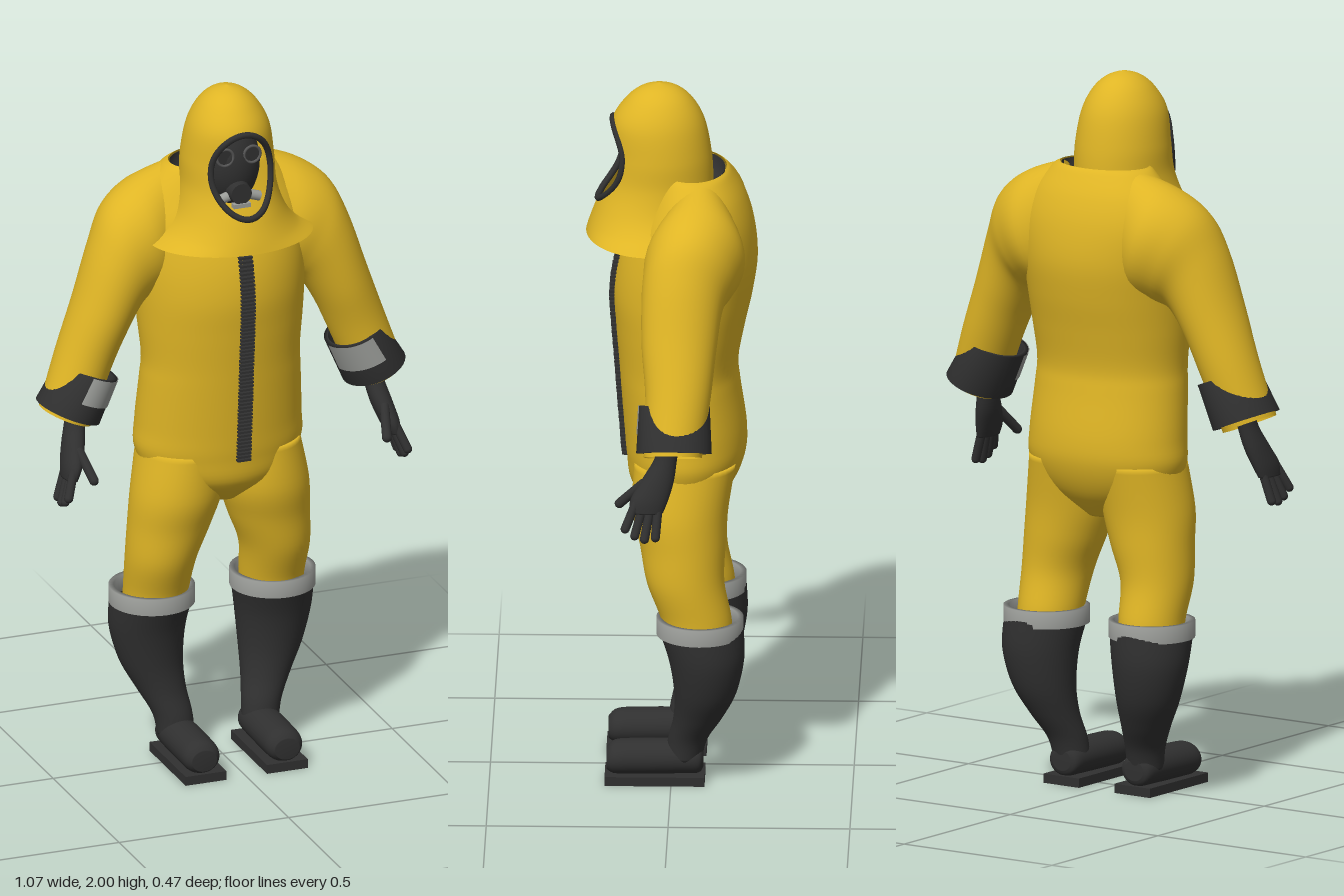
import * as THREE from 'three';
import { mergeGeometries } from 'three/addons/utils/BufferGeometryUtils.js';

const mat = (name, color) => new THREE.MeshStandardMaterial({ name, color, side: THREE.DoubleSide });

// Smoothly resample a list of cross-sections (Catmull-Rom on every number).
function resample(rows, sub) {
  const out = [];
  const at = (i) => rows[Math.min(Math.max(i, 0), rows.length - 1)];
  for (let i = 0; i < rows.length - 1; i++) {
    const [a, b, c, d] = [at(i - 1), at(i), at(i + 1), at(i + 2)];
    for (let s = 0; s < sub; s++) {
      const t = s / sub;
      out.push(b.map((p, k) => {
        const cubic = 3 * (p - c[k]) + d[k] - a[k];
        const square = 2 * a[k] - 5 * p + 4 * c[k] - d[k];
        return p + 0.5 * t * (c[k] - a[k] + t * (square + t * cubic));
      }));
    }
  }
  out.push(at(rows.length - 1));
  return out;
}

// Skin elliptical sections [cx, cy, cz, ux, uy, vy, vz]; each ring is c + u cos + v sin.
function loft(rows, { n = 40, sub = 6, cap0 = false, cap1 = false, from = 0, to = Math.PI * 2 } = {}) {
  const list = resample(rows, sub);
  const point = (r) => [r[0], r[1], r[2], 0, 0, 0, 0];
  if (cap0) list.unshift(point(list[0]));
  if (cap1) list.push(point(list[list.length - 1]));
  const closed = to - from > 6.28, cols = closed ? n : n + 1;
  const pos = [], index = [];
  list.forEach(([x, y, z, ux, uy, vy, vz], j) => {
    for (let i = 0; i < cols; i++) {
      const a = from + (to - from) * i / n, c = Math.cos(a), s = Math.sin(a);
      pos.push(x + ux * c, y + uy * c + vy * s, z + vz * s);
      if (j && i < n) {
        const k = (i + 1) % cols, p = (j - 1) * cols, q = j * cols;
        index.push(p + i, p + k, q + i, p + k, q + k, q + i);
      }
    }
  });
  const g = new THREE.BufferGeometry();
  g.setAttribute('position', new THREE.Float32BufferAttribute(pos, 3));
  g.setIndex(index);
  g.computeVertexNormals();
  return g;
}

// Section helpers: level ring, upright ring, and ring spanning an outer and an inner point.
const level = ([x, y, z, rx, rz]) => [x, y, z, rx, 0, 0, rz];
const upright = ([x, y, z, rx, ry]) => [x, y, z, rx, 0, ry, 0];
const span = ([ox, oy, ix, iy, z, rz]) => [(ox + ix) / 2, (oy + iy) / 2, z, (ox - ix) / 2, (oy - iy) / 2, 0, rz];
// Level torso ring from height, half width, front z and back z.
const slab = ([y, rx, f, b]) => level([0, y, (f + b) / 2, rx, (f - b) / 2]);

// Capsule between two points.
function bone(a, b, r) {
  const A = new THREE.Vector3(...a), d = new THREE.Vector3(...b).sub(A);
  const g = new THREE.CapsuleGeometry(r, d.length(), 5, 12);
  g.applyQuaternion(new THREE.Quaternion().setFromUnitVectors(new THREE.Vector3(0, 1, 0), d.clone().normalize()));
  return g.translate(...A.addScaledVector(d, 0.5).toArray());
}

const TORSO = [[0.77, 0.05, 0.04, -0.1], [0.84, 0.19, 0.11, -0.165], [0.92, 0.238, 0.125, -0.2],
  [1.0, 0.238, 0.132, -0.205], [1.13, 0.23, 0.142, -0.187], [1.2, 0.226, 0.147, -0.182], [1.3, 0.235, 0.155, -0.2],
  [1.4, 0.243, 0.16, -0.222], [1.5, 0.25, 0.145, -0.235], [1.6, 0.25, 0.11, -0.225],
  [1.68, 0.215, 0.07, -0.2], [1.74, 0.16, 0.045, -0.165], [1.755, 0.135, 0.04, -0.15]].map(slab);

const HOOD = [[2, 0.035, 0, 0], [1.985, 0.035, 0.045, 0.052], [1.95, 0.036, 0.083, 0.094], [1.89, 0.038, 0.113, 0.128],
  [1.8, 0.032, 0.128, 0.14], [1.72, 0.036, 0.133, 0.149], [1.65, 0.05, 0.153, 0.16],
  [1.6, 0.055, 0.188, 0.173], [1.57, 0.055, 0.235, 0.182]].map(([y, z, rx, rz]) => level([0, y, z, rx, rz]));

// Front z of a level-ring body at a given x and y.
function frontZ(rows, x, y) {
  const near = resample(rows, 40).reduce((a, b) => (Math.abs(b[1] - y) < Math.abs(a[1] - y) ? b : a));
  return near[2] + near[6] * Math.sqrt(Math.max(0, 1 - (x / near[3]) ** 2));
}

const FACE = { y: 1.78, a: 0.088, b: 0.117 };

// Hood with an oval face opening: inner triangles go, edge vertices slide to the oval.
function hoodGeometry() {
  const g = loft(HOOD, { n: 128, sub: 8 }), p = g.attributes.position, idx = g.index.array, keep = [];
  const inside = (i) => p.getZ(i) > 0.06
    && Math.hypot(p.getX(i) / FACE.a, (p.getY(i) - FACE.y) / FACE.b) < 1;
  const isIn = Array.from({ length: p.count }, (_, i) => inside(i));
  for (let i = 0; i < idx.length; i += 3) {
    const t = [idx[i], idx[i + 1], idx[i + 2]];
    if (!t.every((v) => isIn[v])) keep.push(...t);
  }
  new Set(keep).forEach((i) => {
    if (!isIn[i]) return;
    const x = p.getX(i), y = p.getY(i) - FACE.y, k = 1 / Math.hypot(x / FACE.a, y / FACE.b);
    p.setXYZ(i, x * k, FACE.y + y * k, frontZ(HOOD, x * k, FACE.y + y * k));
  });
  g.setIndex(keep);
  g.computeVertexNormals();
  return g;
}

export function createModel() {
  const yellow = mat('suit yellow', 0xdfb525), black = mat('rubber black', 0x303030);
  const grey = mat('reflective grey', 0x9a9c98), steel = mat('lens rim grey', 0x565656);
  const model = new THREE.Group();
  model.name = 'protectiveSuit';
  const add = (parent, name, geo, material) => {
    const m = new THREE.Mesh(geo, material);
    m.name = name;
    parent.add(m);
  };

  // Suit body, collar lining and hood
  add(model, 'torso', loft(TORSO, { n: 64, cap0: true }), yellow);
  add(model, 'collarLining', loft([[1.752, 0.131, 0.036, -0.146], [1.7, 0.128, 0.03, -0.14]].map(slab), { sub: 1, cap1: true }), black);
  add(model, 'hood', hoodGeometry(), yellow);
  const rim = Array.from({ length: 48 }, (_, i) => {
    const a = i / 48 * Math.PI * 2, x = FACE.a * Math.cos(a), y = FACE.y + FACE.b * Math.sin(a);
    return new THREE.Vector3(x, y, frontZ(HOOD, x, y));
  });
  add(model, 'faceRim', new THREE.TubeGeometry(new THREE.CatmullRomCurve3(rim, true), 96, 0.009, 8, true), black);

  // Breathing mask
  const mask = new THREE.Group();
  mask.name = 'mask';
  model.add(mask);
  add(mask, 'maskFace', new THREE.SphereGeometry(1, 32, 24).scale(0.086, 0.125, 0.085).translate(0, 1.78, 0.045), black);
  add(mask, 'snout', new THREE.CylinderGeometry(0.03, 0.036, 0.05, 24).rotateX(Math.PI / 2).translate(0, 1.715, 0.12), black);
  for (const s of [-1, 1]) {
    add(mask, 'lensRim', new THREE.TorusGeometry(0.024, 0.004, 8, 28).translate(s * 0.04, 1.82, 0.122), steel);
    add(mask, 'lens', new THREE.CylinderGeometry(0.023, 0.023, 0.02, 24).rotateX(Math.PI / 2).translate(s * 0.04, 1.82, 0.11), black);
    add(mask, 'valve', new THREE.CylinderGeometry(0.014, 0.014, 0.04, 16).rotateZ(s * 1.25).translate(s * 0.045, 1.697, 0.115), grey);
  }
  add(mask, 'chinClip', new THREE.BoxGeometry(0.05, 0.012, 0.02).translate(0, 1.682, 0.14), grey);

  // Zip teeth following the chest
  const teeth = [];
  for (let y = 0.92; y < 1.57; y += 0.0108) {
    teeth.push(new THREE.BoxGeometry(0.04, 0.006, 0.022).translate(0.011, y, frontZ(TORSO, 0.01, y) + 0.002));
  }
  add(model, 'zip', mergeGeometries(teeth), black);

  // Limbs, built on the model's left and mirrored
  for (const s of [1, -1]) {
    const side = new THREE.Group();
    side.name = s > 0 ? 'leftLimbs' : 'rightLimbs';
    side.scale.x = s;
    model.add(side);

    add(side, 'sleeve', loft([[0.13, 1.752, 0.1, 1.42, -0.08, 0.09], [0.24, 1.712, 0.15, 1.4, -0.07, 0.135],
      [0.325, 1.65, 0.2, 1.385, -0.053, 0.128], [0.375, 1.55, 0.235, 1.37, -0.035, 0.113],
      [0.425, 1.4, 0.28, 1.3, -0.027, 0.103], [0.478, 1.25, 0.325, 1.2, -0.025, 0.09],
      [0.53, 1.1, 0.39, 1.04, -0.012, 0.08]].map(span), { cap0: true }), yellow);

    // Cuff: outer wall turned in at both ends, with a reflective patch
    const top = [0.467, 1.225, 0.313, 1.167, -0.015, 0.097], low = [0.536, 1.114, 0.366, 1.045, -0.015, 0.104];
    const scaled = (r, k) => span(r).map((v, i) => (i > 2 ? v * k : v));
    add(side, 'cuff', loft([scaled(top, 0.86), span(top), span(low), scaled(low, 0.86), scaled(top, 0.86)], { sub: 1 }), black);
    const mid = top.map((v, i) => v + (low[i] - v) * 0.6);
    add(side, 'cuffPatch', loft([scaled(top, 1.03), scaled(mid, 1.03)], { sub: 1, from: 1.3, to: 3.0 }), grey);

    // Glove
    add(side, 'glovePalm', loft([[0.43, 1.15, -0.005, 0.032, 0.034], [0.438, 1.07, 0.005, 0.028, 0.03],
      [0.453, 1.0, 0.03, 0.03, 0.045], [0.467, 0.95, 0.052, 0.027, 0.052],
      [0.476, 0.915, 0.06, 0.02, 0.046]].map(level), { n: 24, cap0: true, cap1: true }), black);
    const fingers = [[0.028, 0.93, 0.035, 0.85], [0.05, 0.925, 0.065, 0.845],
      [0.072, 0.925, 0.092, 0.855], [0.09, 0.94, 0.118, 0.875]];
    for (const [z, y, tz, ty] of fingers) add(side, 'finger', bone([0.475, y, z], [0.5, ty, tz], 0.0125), black);
    add(side, 'thumb', bone([0.45, 0.99, 0.07], [0.432, 0.925, 0.135], 0.0135), black);

    // Trouser leg
    add(side, 'trouserLeg', loft([[0.115, 0.93, -0.038, 0.115, 0.14], [0.128, 0.8, -0.025, 0.126, 0.132],
      [0.146, 0.7, -0.032, 0.115, 0.118], [0.167, 0.6, -0.04, 0.098, 0.107],
      [0.17, 0.5, -0.068, 0.09, 0.098], [0.172, 0.44, -0.075, 0.088, 0.095]].map(level), { cap0: true, cap1: true }), yellow);

    // Boot
    add(side, 'bootShaft', loft([[0.178, 0.47, -0.082, 0.115, 0.118], [0.185, 0.38, -0.098, 0.107, 0.104],
      [0.176, 0.28, -0.095, 0.09, 0.086], [0.155, 0.2, -0.075, 0.07, 0.068], [0.132, 0.13, -0.047, 0.056, 0.055],
      [0.124, 0.07, -0.035, 0.052, 0.05]].map(level), { cap1: true }), black);
    add(side, 'bootBand', loft([[0.178, 0.452, -0.08, 0.119, 0.12], [0.178, 0.5, -0.08, 0.119, 0.12],
      [0.178, 0.5, -0.08, 0.104, 0.105], [0.178, 0.452, -0.08, 0.104, 0.105],
      [0.178, 0.452, -0.08, 0.119, 0.12]].map(level), { sub: 1 }), grey);
    add(side, 'bootFoot', loft([[0.122, 0.068, -0.088, 0.03, 0.028], [0.122, 0.068, -0.075, 0.048, 0.044],
      [0.122, 0.07, -0.03, 0.054, 0.048], [0.122, 0.068, 0.1, 0.055, 0.049], [0.122, 0.066, 0.155, 0.052, 0.046],
      [0.122, 0.062, 0.178, 0.036, 0.03]].map(upright), { cap0: true, cap1: true }), black);
    add(side, 'bootSole', new THREE.BoxGeometry(0.12, 0.026, 0.275).translate(0.12, 0.013, 0.045), black);
  }
  return model;
}
